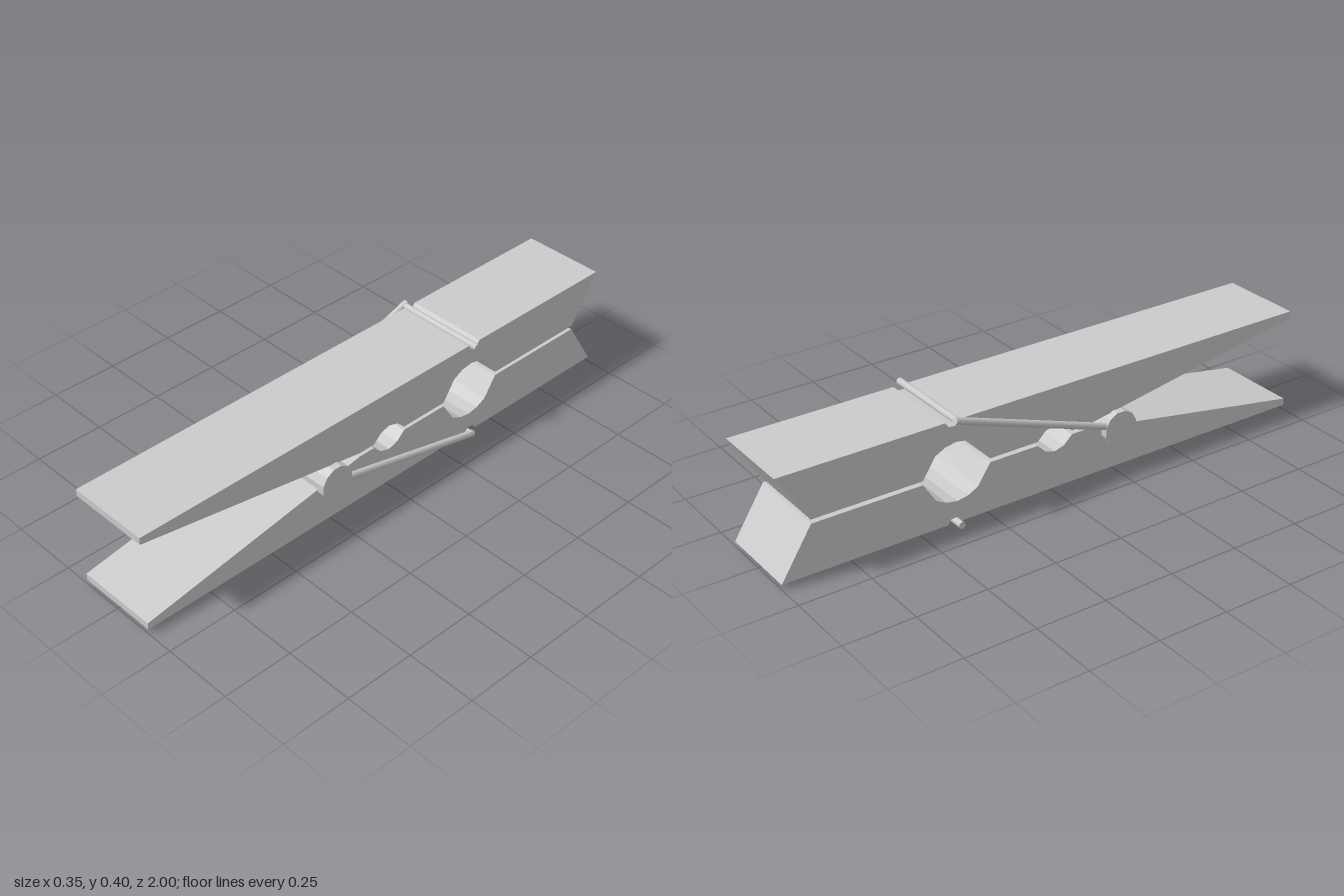
import * as THREE from 'three';

const MID = 0.2;            // height of the parting plane between the jaws
const WIDTH = 0.3;          // jaw width
const WIRE = 0.0122;        // spring wire radius
const COIL = [0.168, 0.25]; // coil centre (y, z)
const BAR_Z = -0.375;

const wood = new THREE.MeshStandardMaterial({ color: 0xcccccc, flatShading: true });
const metal = new THREE.MeshStandardMaterial({ color: 0xcccccc });

// Side profile of one jaw as [z, distance from the parting plane]
const profile = [
  [1, 0.181], [1, 0.156], [0.13, 0.007],
  // small notch
  [0.068, 0.007], [0.037, 0.037], [0, 0.048], [-0.037, 0.037], [-0.068, 0.007],
  // large notch
  [-0.25, 0.007], [-0.298, 0.079], [-0.335, 0.098], [-0.375, 0.105],
  [-0.415, 0.098], [-0.452, 0.079], [-0.5, 0.007],
  // bevelled tip
  [-0.89, 0.007], [-1, 0.181],
  // groove for the spring bar
  [-0.413, 0.181], [-0.4, 0.164], [-0.375, 0.162], [-0.362, 0.181],
];

function jaw(name, sign) {
  const shape = new THREE.Shape(profile.map(([z, d]) => new THREE.Vector2(-z, MID + sign * d)));
  const geo = new THREE.ExtrudeGeometry(shape, { depth: WIDTH, bevelEnabled: false });
  geo.translate(0, 0, -WIDTH / 2).rotateY(Math.PI / 2);
  const mesh = new THREE.Mesh(geo, wood);
  mesh.name = name;
  return mesh;
}

// Straight length of wire between two points
function wire(name, from, to) {
  const a = new THREE.Vector3(...from), b = new THREE.Vector3(...to);
  const dir = b.clone().sub(a);
  const mesh = new THREE.Mesh(new THREE.CylinderGeometry(WIRE, WIRE, dir.length(), 12), metal);
  mesh.position.copy(a).add(b).multiplyScalar(0.5);
  mesh.quaternion.setFromUnitVectors(new THREE.Vector3(0, 1, 0), dir.normalize());
  mesh.name = name;
  return mesh;
}

export function createModel() {
  const group = new THREE.Group();
  group.name = 'clothespin';
  group.add(jaw('upperJaw', 1), jaw('lowerJaw', -1));

  // Spring: faceted coil, then an arm and a cross bar for each jaw
  const spring = new THREE.Group();
  spring.name = 'spring';
  const coilGeo = new THREE.CylinderGeometry(0.063, 0.063, 0.35, 12, 1, false, Math.PI / 12);
  const coil = new THREE.Mesh(coilGeo.rotateZ(Math.PI / 2), wood);
  coil.position.set(0, ...COIL);
  coil.name = 'springCoil';
  spring.add(coil);

  for (const [label, side, barY, endY] of [['upper', -1, 0.381, 0.387], ['lower', 1, 0.018, 0.0135]]) {
    spring.add(
      wire(label + 'SpringArm', [side * 0.1625, ...COIL], [side * 0.1625, endY, BAR_Z - 0.011]),
      wire(label + 'SpringBar', [side * 0.17, barY, BAR_Z], [-side * 0.175, barY, BAR_Z]),
    );
  }
  group.add(spring);
  return group;
}
